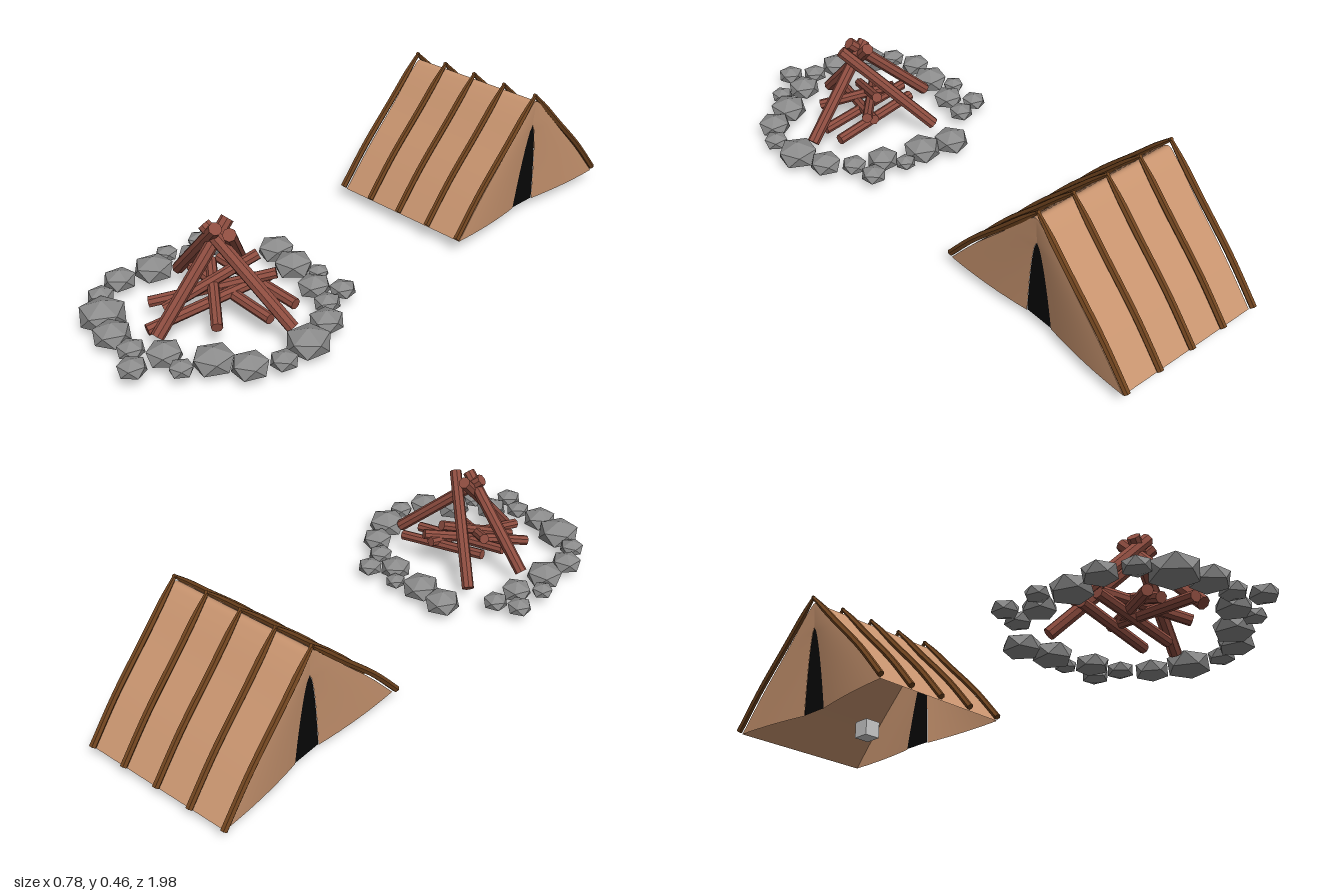
import * as THREE from 'three';
import { ParametricGeometry } from 'three/addons/geometries/ParametricGeometry.js';

const V = (x, y, z) => new THREE.Vector3(x, y, z);
const mat = (color, extra = {}) => new THREE.MeshStandardMaterial({ color, ...extra });
const canvasMat = mat(0xc8946f, { side: THREE.DoubleSide });
const doorMat = mat(0x080808, { side: THREE.DoubleSide });
const poleMat = mat(0x70441f, { flatShading: true });
const logMat = mat(0x8e4d40, { flatShading: true });
const rockMat = mat(0x8c8c8c, { flatShading: true });
const greyMat = mat(0xcccccc);

function add(parent, name, geometry, material) {
  const mesh = new THREE.Mesh(geometry, material);
  mesh.name = name;
  parent.add(mesh);
  return mesh;
}

// Sheet from a rule f(u, v) -> point
function sheet(f, nu, nv) {
  const g = new ParametricGeometry((u, v, out) => out.copy(f(u, v)), nu, nv);
  g.computeVertexNormals();
  return g;
}

// Tent cross-section: x holds the distance from the ridge line, y the height
const TENT_Z = -0.6, LEFT = 0.25, RIGHT = -0.278;
const half = [[0.37, 0.04], [0.26, 0.168], [0.13, 0.303], [0.035, 0.405]];
const profile = new THREE.CatmullRomCurve3([
  ...half.map(([d, y]) => V(d, y, 0)),
  V(0, 0.43, 0),
  ...half.slice().reverse().map(([d, y]) => V(-d, y, 0)),
]);
const doorHalf = y => 0.052 * Math.pow(Math.max(0, 1 - (y - 0.04) / 0.3), 0.6);

// Bent pole that tapers towards its crossing end, with flat caps
function poleGeometry(side) {
  const pts = [[0.393, 0.034], [0.27, 0.178], [0.13, 0.318], [0.03, 0.42], [-0.02, 0.468]];
  const path = new THREE.CatmullRomCurve3(pts.map(([d, y]) => V(0, y, side * d)));
  const N = 28, S = 6;
  const g = new THREE.TubeGeometry(path, N, 0.0115, S);
  const pos = g.attributes.position, p = V();
  for (let i = 0; i <= N; i++) {
    const ring = i === 0 ? 1 : i === N ? N - 1 : i;
    const c = path.getPointAt(ring / N);
    const taper = 1 - 0.5 * THREE.MathUtils.smoothstep(ring / N, 0.78, 1);
    const k = i === ring ? taper : 0;
    for (let j = 0; j <= S; j++) {
      const n = i * (S + 1) + j;
      p.fromBufferAttribute(pos, n);
      if (k === 0) p.copy(c);
      else p.sub(c).multiplyScalar(k).add(c);
      pos.setXYZ(n, p.x, p.y, p.z);
    }
  }
  return g;
}

function makeTent() {
  const tent = new THREE.Group();
  tent.name = 'tent';
  tent.position.z = TENT_Z;

  add(tent, 'canvasRoof', sheet((u, v) => {
    const p = profile.getPoint(u);
    return V(RIGHT + (LEFT - RIGHT) * v, p.y, p.x);
  }, 40, 4), canvasMat);

  // End flaps sink slightly inwards towards the black doorway
  for (const [end, inward, name] of [[LEFT, -1, 'left'], [RIGHT, 1, 'right']]) {
    const inset = (y, t) => end + inward * 0.028 * (1 - t) ** 2 * Math.max(0, 1 - (y - 0.04) / 0.38);
    for (const s of [1, -1]) {
      add(tent, `${name}EndFlap`, sheet((u, t) => {
        const p = profile.getPoint(u * 0.499);
        const z = THREE.MathUtils.lerp(doorHalf(p.y), Math.max(p.x, 0), t);
        return V(inset(p.y, t), p.y - 0.008 * (1 - t) * (1 - u) ** 6, s * z);
      }, 24, 8), canvasMat);
    }
    add(tent, `${name}Doorway`, sheet((u, t) => {
      const y = 0.034 + 0.306 * u;
      return V(inset(y, 0) + inward * 0.001, y, doorHalf(Math.max(y, 0.04)) * (2 * t - 1));
    }, 16, 2), doorMat);
  }

  // Five pairs of crossed poles
  const poles = [poleGeometry(1), poleGeometry(-1)];
  for (let i = 0; i < 5; i++) {
    poles.forEach((g, k) => {
      add(tent, k ? 'backPole' : 'frontPole', g, poleMat).position.x = -0.285 + i * 0.1325;
    });
  }

  // Small block under the middle of the tent
  add(tent, 'groundBlock', new THREE.BoxGeometry(0.058, 0.058, 0.058), greyMat).position.set(-0.018, 0.029, 0.003);
  return tent;
}

// Straight log between two points
function makeLog(parent, name, a, b, r) {
  const from = V(...a), to = V(...b), dir = to.clone().sub(from);
  const log = add(parent, name, new THREE.CylinderGeometry(r, r, dir.length(), 8), logMat);
  log.position.copy(from).addScaledVector(dir, 0.5);
  log.quaternion.setFromUnitVectors(V(0, 1, 0), dir.normalize());
}

function makeFire() {
  const fire = new THREE.Group();
  fire.name = 'campfire';

  // Tall logs leaning together
  [
    [[-0.25, 0.06, 0.545], [0.03, 0.338, 0.605]],
    [[0.26, 0.065, 0.52], [-0.03, 0.328, 0.6]],
    [[-0.007, 0.045, 0.81], [0, 0.335, 0.535]],
    [[-0.15, 0.045, 0.365], [0.075, 0.33, 0.59]],
  ].forEach(([a, b]) => makeLog(fire, 'leaningLog', a, b, 0.021));

  // Low logs lying in the middle
  [
    [[0.195, 0.085, 0.45], [-0.13, 0.12, 0.475]],
    [[-0.1, 0.145, 0.53], [0.115, 0.075, 0.685]],
    [[-0.155, 0.06, 0.73], [0.09, 0.14, 0.43]],
    [[-0.085, 0.065, 0.725], [0.03, 0.19, 0.45]],
    [[-0.05, 0.05, 0.815], [0.06, 0.12, 0.43]],
    [[0.19, 0.075, 0.545], [-0.16, 0.11, 0.56]],
  ].forEach(([a, b]) => makeLog(fire, 'lowLog', a, b, 0.018));

  // Ring of stones: x, z, radius
  [
    [-0.13, 0.24, 0.06], [-0.02, 0.265, 0.063], [0.07, 0.24, 0.034], [0.12, 0.305, 0.053],
    [0.195, 0.255, 0.042], [0.215, 0.34, 0.042], [0.285, 0.41, 0.053], [0.325, 0.52, 0.068],
    [0.343, 0.63, 0.042], [0.295, 0.715, 0.056], [0.2, 0.77, 0.063], [0.17, 0.86, 0.037],
    [0.08, 0.85, 0.055], [0.07, 0.955, 0.044], [-0.005, 0.905, 0.042], [-0.105, 0.9, 0.058],
    [-0.21, 0.86, 0.073], [-0.3, 0.805, 0.042], [-0.335, 0.71, 0.052], [-0.315, 0.595, 0.063],
    [-0.36, 0.51, 0.037], [-0.29, 0.455, 0.052], [-0.35, 0.38, 0.042], [-0.27, 0.355, 0.042],
  ].forEach(([x, z, r], i) => {
    const g = new THREE.IcosahedronGeometry(1, 0);
    g.rotateZ(Math.atan(2 / (1 + Math.sqrt(5)))); // one corner points up
    g.rotateY(i * 2.4);
    g.scale(r * 1.08, r * 0.68, r * 1.08);
    const pos = g.attributes.position;
    for (let n = 0; n < pos.count; n++) pos.setY(n, Math.max(pos.getY(n), -0.025)); // flat underside
    add(fire, 'stone', g, rockMat).position.set(x, 0.05, z);
  });
  return fire;
}

export function createModel() {
  const model = new THREE.Group();
  model.name = 'campsite';
  model.add(makeTent(), makeFire());
  return model;
}
